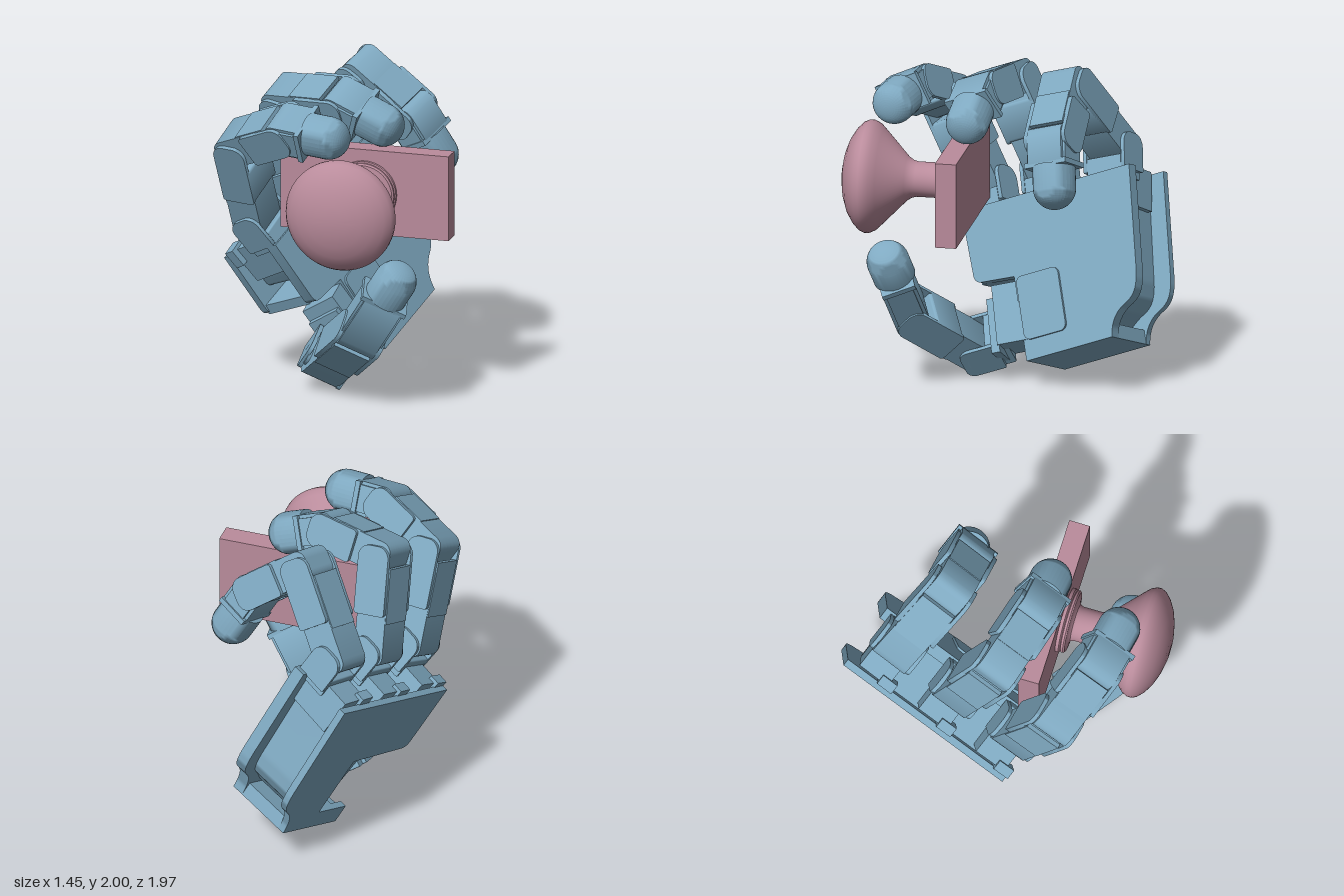
import * as THREE from 'three';
import { toCreasedNormals } from 'three/addons/utils/BufferGeometryUtils.js';

const blue = new THREE.MeshStandardMaterial({ color: 0x7fa9c1 });
const pink = new THREE.MeshStandardMaterial({ color: 0xba8c9c });
const V = (x, y, z) => new THREE.Vector3(x, y, z);

function add(parent, name, geo, mat = blue) {
  const mesh = new THREE.Mesh(geo, mat);
  mesh.name = name;
  parent.add(mesh);
  return mesh;
}

// rectangle with rounded corners: lower radius r0, upper radius r1
function roundRect(x0, x1, y0, y1, r0, r1 = r0) {
  const s = new THREE.Shape();
  s.moveTo(x0 + r0, y0);
  s.lineTo(x1 - r0, y0);
  s.absarc(x1 - r0, y0 + r0, r0, -Math.PI / 2, 0);
  s.lineTo(x1, y1 - r1);
  s.absarc(x1 - r1, y1 - r1, r1, 0, Math.PI / 2);
  s.lineTo(x0 + r1, y1);
  s.absarc(x0 + r1, y1 - r1, r1, Math.PI / 2, Math.PI);
  s.lineTo(x0, y0 + r0);
  s.absarc(x0 + r0, y0 + r0, r0, Math.PI, Math.PI * 1.5);
  return s;
}

// side profile (x, z) swept across the width, centred on y
function across(shape, width, y = 0) {
  const g = new THREE.ExtrudeGeometry(shape, { depth: width, bevelEnabled: false, curveSegments: 8 });
  g.rotateX(Math.PI / 2);
  g.translate(0, y + width / 2, 0);
  return toCreasedNormals(g, 0.6);
}

// outline (y, z) swept along x from x0 to x1
function through(shape, x0, x1) {
  const g = new THREE.ExtrudeGeometry(shape, { depth: x1 - x0, bevelEnabled: false, curveSegments: 10 });
  g.applyMatrix4(new THREE.Matrix4().makeBasis(V(0, 1, 0), V(0, 0, 1), V(1, 0, 0)));
  g.translate(x0, 0, 0);
  return toCreasedNormals(g, 0.6);
}

function box(x0, x1, y0, y1, z0, z1) {
  const g = new THREE.BoxGeometry(x1 - x0, y1 - y0, z1 - z0);
  return g.translate((x0 + x1) / 2, (y0 + y1) / 2, (z0 + z1) / 2);
}

// group whose z runs from one joint to the next, y along the hinge
function frame(parent, name, from, to, hinge) {
  const z = to.clone().sub(from).normalize();
  const x = hinge.clone().cross(z).normalize();
  const y = z.clone().cross(x);
  const g = new THREE.Group();
  g.name = name;
  g.quaternion.setFromRotationMatrix(new THREE.Matrix4().makeBasis(x, y, z));
  g.position.copy(from);
  parent.add(g);
  return g;
}

const T = 0.0098, HW = 0.01375;

// motor body with a fork that holds the next joint
function link(parent, name, from, to, hinge) {
  const L = from.distanceTo(to), g = frame(parent, name, from, to, hinge);
  add(g, 'motorBody', across(roundRect(-T, T * 0.9, -0.0085, L - 0.0105, 0.006, 0.0015), 0.0225));
  add(g, 'forkBase', across(roundRect(-T, T, L * 0.4, L - 0.0105, 0.0015), HW * 2));
  for (const s of [-1, 1]) {
    add(g, 'forkCheek', across(roundRect(-T, T, L * 0.38, L + 0.0065, 0.002, 0.007), 0.0023, s * 0.0126));
    add(g, 'hingeCap', across(roundRect(-0.006, 0.006, -0.006, 0.006, 0.0058), 0.002, s * 0.0121));
  }
  add(g, 'backCover', box(-T * 1.06, -T * 0.8, -0.011, 0.011, L * 0.3, L - 0.006));
}

// last segment with a domed fingertip
function fingertip(parent, name, from, to, hinge) {
  const L = from.distanceTo(to), g = frame(parent, name, from, to, hinge);
  add(g, 'motorBody', across(roundRect(-T, T, -0.0085, L - 0.0125, 0.006, 0.001), 0.0225));
  add(g, 'endBracket', box(-T, T, -HW, HW, L - 0.0145, L - 0.0115));
  for (const s of [-1, 1])
    add(g, 'sidePlate', across(roundRect(-T * 0.8, T * 0.8, -0.005, L - 0.012, 0.004, 0.001), 0.0015, s * 0.012));
  const R = 0.0122, pts = [new THREE.Vector2(0, L - 0.0125), new THREE.Vector2(R, L - 0.0125)];
  for (let i = 0; i <= 14; i++) {
    const a = (i / 14) * Math.PI / 2;
    pts.push(new THREE.Vector2(i === 14 ? 0 : R * Math.cos(a), L + R * Math.sin(a)));
  }
  add(g, 'domeTip', toCreasedNormals(new THREE.LatheGeometry(pts, 32).rotateX(Math.PI / 2), 0.6));
}

// splay leans the whole finger sideways, angles bend its three joints
function finger(hand, name, y, splay, angles) {
  const g = new THREE.Group(), hinge = V(0, 1, 0);
  g.name = name;
  g.position.y = y;
  g.rotation.x = THREE.MathUtils.degToRad(-splay);
  hand.add(g);
  // knuckle bracket on the palm edge
  add(g, 'knuckle', across(roundRect(-T, T, -0.003, 0.009, 0.001), 0.0225));
  for (const s of [-1, 1])
    add(g, 'knuckleCheek', across(roundRect(-T, T, 0.001, 0.0225, 0.001, 0.007), 0.0023, s * 0.0126));
  add(g, 'knuckleMotor', box(-0.024, 0.006, -0.010, 0.010, -0.018, 0.005));
  add(g, 'knuckleTab', box(-0.026, -0.02, -0.014, -0.004, -0.004, 0.007));
  let p = V(0, 0, 0.0164);
  [0.054, 0.0384, 0.0267].forEach((len, i) => {
    const a = THREE.MathUtils.degToRad(angles[i]);
    const q = p.clone().add(V(Math.sin(a) * len, 0, Math.cos(a) * len));
    if (i < 2) link(g, i ? 'middleLink' : 'lowerLink', p, q, hinge);
    else fingertip(g, 'fingertip', p, q, hinge);
    p = q;
  });
}

// palm outline, inset by e, with the thumb notch on one side, an S-curve on
// the other, and optionally the slot for the thumb swivel
function palmShape(e, slot) {
  const s = new THREE.Shape();
  s.moveTo(-0.0565 + e, -e);
  s.lineTo(0.0565 - e, -e);
  s.lineTo(0.0515 - e, -0.056);
  s.bezierCurveTo(0.0505 - e, -0.071, 0.047 - e, -0.075, 0.040 - e, -0.078);
  s.bezierCurveTo(0.034 - e, -0.081, 0.030 - e, -0.086, 0.029 - e, -0.0944 + e);
  s.lineTo(-0.0285 + e, -0.0944 + e);
  if (slot) {
    s.lineTo(-0.0285 + e, -0.083);
    s.lineTo(0.001, -0.083);
    s.lineTo(0.001, -0.045 + e);
  } else {
    s.lineTo(-0.0285 + e, -0.045 + e);
  }
  s.lineTo(-0.050 + e, -0.043 + e);
  s.quadraticCurveTo(-0.0545 + e, -0.0426 + e, -0.0548 + e, -0.038 + e);
  s.closePath();
  return s;
}

// two plates around a recessed core, leaning slightly against the fingers
function palm(hand) {
  const g = new THREE.Group();
  g.name = 'palm';
  g.rotation.y = THREE.MathUtils.degToRad(5);
  g.position.z = 0.001;
  hand.add(g);
  add(g, 'palmShell', through(palmShape(0, false), 0.004, 0.0111));
  add(g, 'palmCore', through(palmShape(0.011, true), -0.026, 0.005));
  add(g, 'backPlate', through(palmShape(0, true), -0.0297, -0.0255));
  add(g, 'bottomWall', box(-0.027, 0.005, -0.0285, 0.029, -0.0944, -0.086));
  add(g, 'notchWall', box(-0.027, 0.005, -0.0535, -0.0285, -0.043, -0.037));
  add(g, 'thumbHousing', through(roundRect(-0.027, 0.001, -0.083, -0.046, 0.004), 0.005, 0.0125));
}

function thumb(hand) {
  const g = new THREE.Group();
  g.name = 'thumb';
  hand.add(g);
  const j14 = V(-0.003, -0.0655, -0.0745), j15 = V(0.0456, -0.0764, -0.0606), tip = V(0.082, -0.0648, -0.0426);
  const j13 = j14.clone().sub(V(0.26, -0.96, -0.09).multiplyScalar(0.0177));
  const hinge = j15.clone().sub(j14).cross(tip.clone().sub(j15)).normalize();
  // swivelling base motor in the notch
  const base = new THREE.Group();
  base.name = 'thumbBase';
  base.position.set(-0.0182, -0.0193, -0.046);
  base.rotation.z = THREE.MathUtils.degToRad(15);
  g.add(base);
  add(base, 'baseMotor', box(-0.002, 0.020, -0.030, 0.004, -0.036, -0.001));
  add(base, 'basePlate', box(-0.001, 0.019, -0.034, -0.029, -0.040, -0.008));
  add(base, 'swivelShaft', toCreasedNormals(new THREE.CylinderGeometry(0.0105, 0.0105, 0.037, 24)
    .rotateX(Math.PI / 2).translate(0.001, 0.003, -0.0185), 0.6));
  // roll joint
  const roll = frame(g, 'thumbRollJoint', j13, j14, hinge);
  add(roll, 'rollMotor', across(roundRect(-T, T, -0.004, 0.0085, 0.001), 0.0225));
  for (const s of [-1, 1])
    add(roll, 'rollCheek', across(roundRect(-T, T, 0.002, 0.0245, 0.001, 0.005), 0.0023, s * 0.0126));
  link(g, 'thumbLowerLink', j14, j15, hinge);
  fingertip(g, 'thumbTip', j15, tip, hinge);
}

export function createModel() {
  const root = new THREE.Group();
  root.name = 'handWithKnob';

  // hand frame: x = palm normal, y = across the palm, z = along the fingers
  const hand = new THREE.Group();
  hand.name = 'roboticHand';
  const n = V(0.81, 0.435, 0.39).normalize();
  const u = n.clone().cross(V(0.25, 0.385, -0.888)).normalize();
  hand.quaternion.setFromRotationMatrix(new THREE.Matrix4().makeBasis(n, u.clone().cross(n), u));
  hand.position.set(-0.311, 1.091, -0.219);
  hand.scale.setScalar(10.7);
  root.add(hand);

  palm(hand);
  finger(hand, 'frontFinger', -0.043, -4, [31, 94, 122]);
  finger(hand, 'middleFinger', -0.0025, 0, [36.5, 113, 142]);
  finger(hand, 'rearFinger', 0.039, 5, [62.5, 157, 181]);
  thumb(hand);

  // knob on its mounting plate
  add(root, 'mountingPlate', box(-0.34, 0.72, 1.02, 1.55, 0.19, 0.32), pink);
  const rim = [[0, 0.31], [0.19, 0.31], [0.2, 0.32], [0.2, 0.34], [0.185, 0.347], [0.195, 0.352], [0.195, 0.366],
    [0.185, 0.375], [0.135, 0.38], [0.115, 0.39], [0.107, 0.41], [0.107, 0.53], [0.115, 0.56], [0.135, 0.59],
    [0.29, 0.74], [0.325, 0.775], [0.342, 0.81], [0.343, 0.835], [0.33, 0.865], [0.295, 0.9], [0.24, 0.935],
    [0.17, 0.962], [0.09, 0.98], [0, 0.985]].map(([r, z]) => new THREE.Vector2(r, z));
  const knob = add(root, 'knob', toCreasedNormals(new THREE.LatheGeometry(rim, 64).rotateX(Math.PI / 2), 0.6), pink);
  knob.position.set(0.195, 1.28, 0);
  return root;
}
